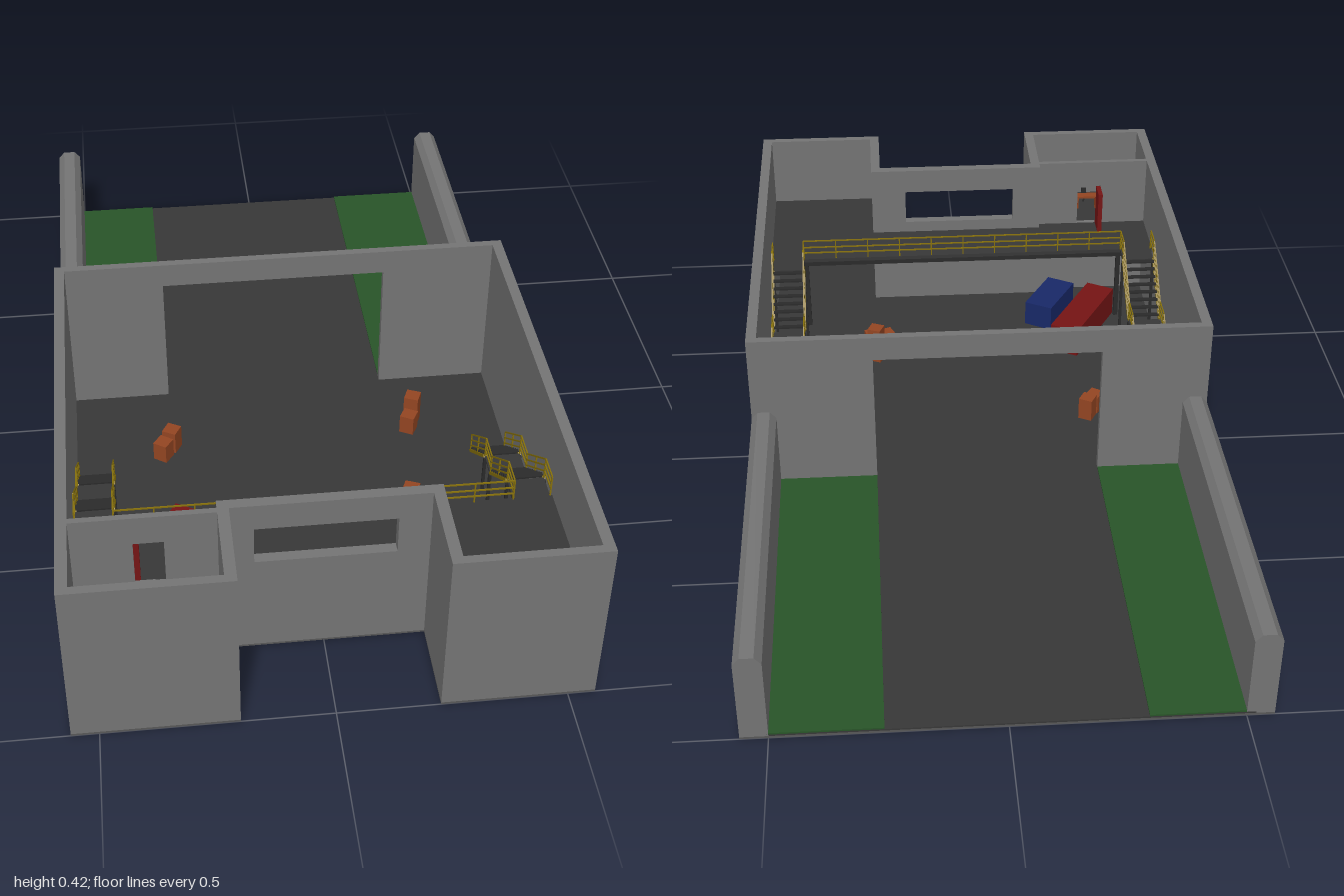
import * as THREE from 'three';

const mat = (color) => new THREE.MeshStandardMaterial({ color, flatShading: true });
const WALL = mat(0x747474), BASE = mat(0x585858), DARK = mat(0x373737), STEEL = mat(0x2a2a2a);
const GREEN = mat(0x285428), YELLOW = mat(0x86700c), RED = mat(0x751414), BLUE = mat(0x182868), ORANGE = mat(0x934522);

const H = 0.417, GROUND = 0.005, FLOOR = 0.009, DECK = 0.225, EDGE = 0.62;

function add(parent, name, geometry, material) {
  const mesh = new THREE.Mesh(geometry, material);
  mesh.name = name;
  parent.add(mesh);
  return mesh;
}

// Box given by its limits on each axis
function block(parent, name, material, [x0, x1], [y0, y1], [z0, z1]) {
  const mesh = add(parent, name, new THREE.BoxGeometry(x1 - x0, y1 - y0, z1 - z0), material);
  mesh.position.set((x0 + x1) / 2, (y0 + y1) / 2, (z0 + z1) / 2);
}

const outline = (pts) => new THREE.Shape(pts.map(([x, y]) => new THREE.Vector2(x, y)));
const rect = (x0, x1, y0, y1) => outline([[x0, y0], [x1, y0], [x1, y1], [x0, y1]]);

// Upright panel: outline in x and y, extruded along z
function panel(parent, name, material, shape, z, depth) {
  const mesh = add(parent, name, new THREE.ExtrudeGeometry(shape, { depth, bevelEnabled: false }), material);
  mesh.position.z = z;
  return mesh;
}

// Flat slab: outline in x and z, with its top at y
function slab(parent, name, material, pts, top, depth) {
  const geo = new THREE.ExtrudeGeometry(outline(pts), { depth, bevelEnabled: false });
  geo.rotateX(Math.PI / 2);
  add(parent, name, geo, material).position.y = top;
}

// Square bar between two points
function bar(parent, name, material, a, b, t = 0.0032) {
  const p = new THREE.Vector3(...a), q = new THREE.Vector3(...b);
  const mesh = add(parent, name, new THREE.BoxGeometry(t, t, p.distanceTo(q)), material);
  mesh.position.copy(p).add(q).multiplyScalar(0.5);
  mesh.lookAt(q);
}

// Posts and rails following a path of points
function railing(parent, name, material, pts, heights) {
  pts.forEach((p, i) => {
    bar(parent, name + 'Post', material, p, [p[0], p[1] + 0.055, p[2]]);
    if (i) for (const h of heights) {
      const o = pts[i - 1];
      bar(parent, name + 'Rail', material, [o[0], o[1] + h, o[2]], [p[0], p[1] + h, p[2]]);
    }
  });
}

// Foundation, with the dark floor laid inside the walls
function buildGround(g) {
  slab(g, 'foundation', BASE, [
    [-0.56, -1], [0.56, -1], [0.56, 1], [0.225, 1], [0.225, 0.79],
    [-0.203, 0.79], [-0.203, 1], [-0.56, 1],
  ], GROUND, GROUND);
  slab(g, 'floor', DARK, [
    [-0.52, -1], [0.52, -1], [0.52, -0.11], [0.545, -0.11], [0.545, 0.99], [0.24, 0.99],
    [0.24, 0.775], [-0.215, 0.775], [-0.215, 0.99], [-0.545, 0.99], [-0.545, -0.11], [-0.52, -0.11],
  ], FLOOR, FLOOR - GROUND);
}

function buildWalls(g) {
  const full = [GROUND, H];
  for (const xs of [[-0.56, -0.535], [0.535, 0.56]]) block(g, 'sideWall', WALL, xs, full, [-0.12, 1]);
  // Back wall with the wide doorway
  panel(g, 'backWall', WALL, outline([
    [-0.535, GROUND], [-0.295, GROUND], [-0.295, 0.355], [0.26, 0.355], [0.26, GROUND],
    [0.535, GROUND], [0.535, H], [-0.535, H],
  ]), -0.12, 0.02);
  // Front walls around the recess
  block(g, 'frontWall', WALL, [-0.535, -0.203], full, [0.98, 1]);
  block(g, 'frontWall', WALL, [0.225, 0.535], full, [0.98, 1]);
  block(g, 'recessSideWall', WALL, [-0.228, -0.203], full, [0.765, 0.98]);
  block(g, 'recessSideWall', WALL, [0.225, 0.25], full, [0.765, 0.98]);
  const recess = rect(-0.203, 0.225, GROUND, H);
  recess.holes.push(rect(-0.152, 0.155, 0.256, 0.351));
  panel(g, 'windowWall', WALL, recess, 0.765, 0.025);
  // Office partition with its doorway
  const partition = rect(-0.535, -0.228, GROUND, H);
  partition.holes.push(rect(-0.405, -0.34, DECK, 0.345));
  panel(g, 'officeWall', WALL, partition, 0.786, 0.014);
}

function buildYard(g) {
  for (const [x0, x1] of [[-0.5, -0.295], [0.26, 0.5]])
    block(g, 'grassStrip', GREEN, [x0, x1], [FLOOR, 0.013], [-1, -0.12]);
  // Walls with chamfered tops that rise slightly towards the back
  for (const c of [-0.53, 0.53]) {
    const wall = panel(g, 'yardWall', WALL, outline([
      [c - 0.03, GROUND], [c + 0.03, GROUND], [c + 0.03, 0.198],
      [c + 0.015, 0.215], [c - 0.015, 0.215], [c - 0.03, 0.198],
    ]), -1, 0.88);
    const pos = wall.geometry.attributes.position;
    for (let i = 0; i < pos.count; i++)
      if (pos.getY(i) > 0.1 && pos.getZ(i) < 0.01) pos.setY(i, pos.getY(i) + 0.006);
  }
}

function buildUpperDeck(g) {
  slab(g, 'upperDeck', DARK, [
    [-0.535, EDGE], [0.535, EDGE], [0.535, 0.98], [0.25, 0.98], [0.25, 0.765],
    [-0.228, 0.765], [-0.228, 0.98], [-0.535, 0.98],
  ], DECK, 0.01);
  block(g, 'deckBeam', STEEL, [-0.535, 0.535], [DECK - 0.022, DECK - 0.01], [EDGE, EDGE + 0.012]);
  const pts = [];
  for (let i = -5; i <= 5; i++) pts.push([i * 0.089, DECK, EDGE + 0.004]);
  railing(g, 'deck', YELLOW, pts, [0.018, 0.035, 0.055]);
  for (const x of [-0.44, 0.44])
    block(g, 'deckColumn', STEEL, [x - 0.006, x + 0.006], [FLOOR, DECK - 0.01], [EDGE, EDGE + 0.012]);
}

// Two flights with a half landing, along one side wall
function buildStairs(g, s) {
  const stairs = new THREE.Group();
  stairs.name = 'stairs';
  g.add(stairs);
  const xs = s < 0 ? [-0.53, -0.445] : [0.445, 0.53];
  const mid = 0.115, steps = 8;
  for (const [z0, z1, y0, y1] of [[0.21, 0.35, FLOOR, mid], [0.415, 0.56, mid, DECK]]) {
    for (let i = 0; i < steps; i++) {
      const z = z0 + (z1 - z0) * i / steps, y = y0 + (y1 - y0) * (i + 1) / steps;
      block(stairs, 'tread', STEEL, xs, [y - 0.004, y], [z, z + 0.013]);
    }
    for (const x of xs) bar(stairs, 'stringer', YELLOW, [x, y0 + 0.004, z0], [x, y1, z1], 0.007);
  }
  block(stairs, 'halfLanding', DARK, xs, [mid - 0.006, mid], [0.35, 0.415]);
  block(stairs, 'topLanding', DARK, xs, [DECK - 0.01, DECK], [0.56, EDGE]);
  for (const x of xs) {
    railing(stairs, 'stair', YELLOW, [
      [x, FLOOR, 0.21], [x, (FLOOR + mid) / 2, 0.28], [x, mid, 0.35], [x, mid, 0.415],
      [x, (mid + DECK) / 2, 0.4875], [x, DECK, 0.56], [x, DECK, EDGE],
    ], [0.02, 0.037, 0.055]);
    for (const [z, top] of [[0.353, mid], [0.411, mid], [0.565, DECK]])
      bar(stairs, 'landingLeg', STEEL, [x, FLOOR, z], [x, top - 0.005, z], 0.007);
  }
}

function turnedBox(g, name, material, x, z, w, h, d, angle) {
  const mesh = add(g, name, new THREE.BoxGeometry(w, h, d), material);
  mesh.position.set(x, FLOOR + h / 2, z);
  mesh.rotation.y = angle;
}

function buildContents(g) {
  turnedBox(g, 'redContainer', RED, -0.333, 0.54, 0.08, 0.08, 0.26, -0.52);
  turnedBox(g, 'blueContainer', BLUE, -0.25, 0.64, 0.08, 0.07, 0.16, -0.52);
  for (const [x, z, h, a] of [
    [-0.297, 0.112, 0.06, -0.5], [-0.32, 0.146, 0.05, -0.6], [0.318, 0.07, 0.08, -0.4],
    [0.304, 0.107, 0.05, -0.5], [0.252, 0.432, 0.1, -0.4], [0.262, 0.473, 0.06, 0.3], [0.222, 0.49, 0.05, 0.4],
  ]) turnedBox(g, 'crate', ORANGE, x, z, 0.036, h, 0.036, a);
  // Office door standing open, desk and chair
  block(g, 'officeDoor', RED, [-0.405, -0.393], [DECK, 0.342], [0.73, 0.786]);
  block(g, 'deskTop', ORANGE, [-0.41, -0.35], [0.258, 0.264], [0.873, 0.898]);
  for (const x of [-0.408, -0.356])
    block(g, 'deskSide', ORANGE, [x, x + 0.004], [DECK, 0.258], [0.875, 0.896]);
  block(g, 'chairSeat', STEEL, [-0.383, -0.369], [DECK + 0.016, DECK + 0.02], [0.912, 0.926]);
  block(g, 'chairBack', STEEL, [-0.383, -0.369], [DECK + 0.02, DECK + 0.042], [0.924, 0.927]);
  block(g, 'chairStem', STEEL, [-0.378, -0.374], [DECK, DECK + 0.016], [0.917, 0.921]);
}

export function createModel() {
  const model = new THREE.Group();
  model.name = 'warehouse';
  buildGround(model);
  buildWalls(model);
  buildYard(model);
  buildUpperDeck(model);
  for (const s of [-1, 1]) buildStairs(model, s);
  buildContents(model);
  return model;
}
